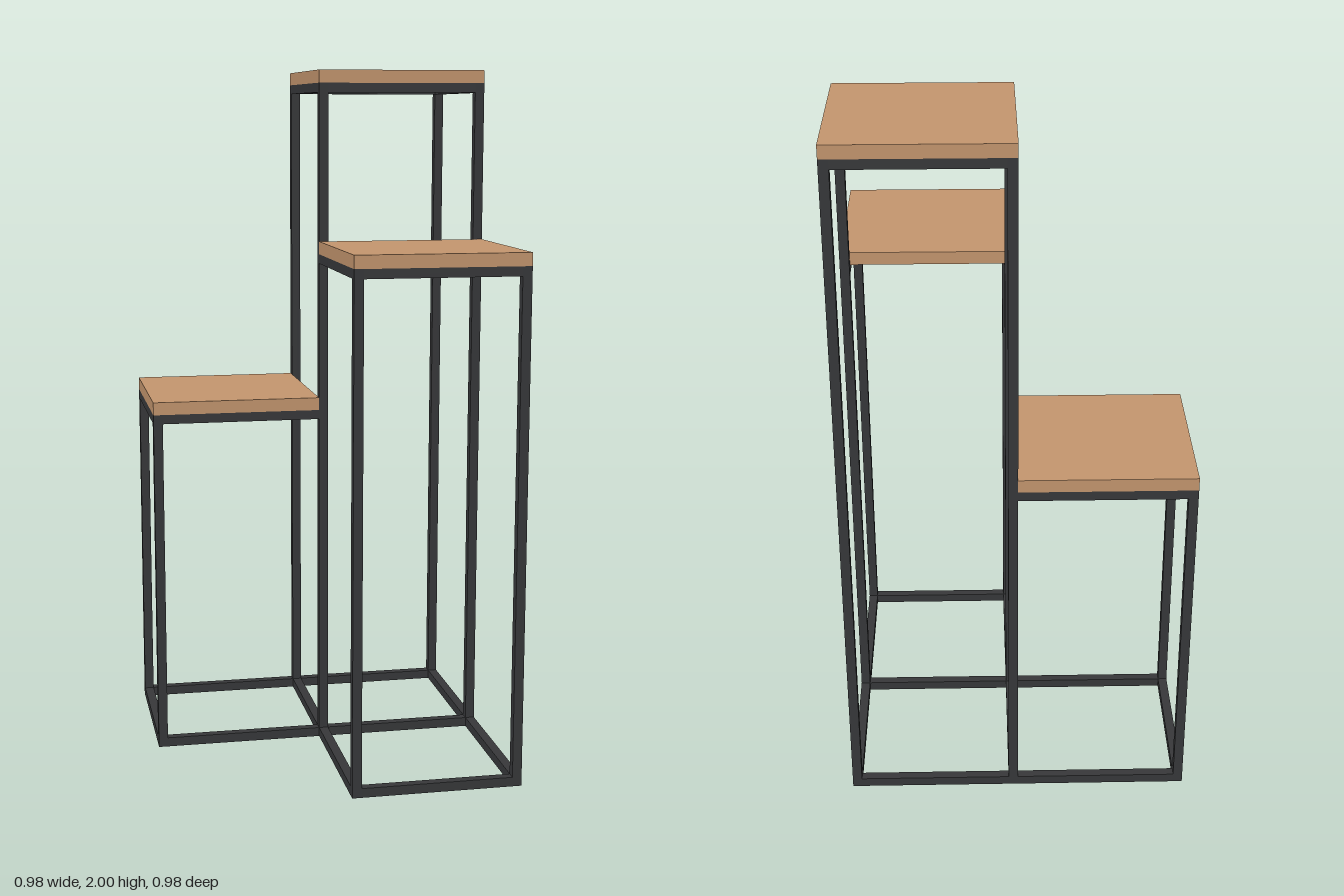
import * as THREE from 'three';

export function createModel() {
  const group = new THREE.Group();
  group.name = 'tieredPlantStand';
  const wood = new THREE.MeshStandardMaterial({ color: 0xc4966e });
  wood.name = 'wood';
  const metal = new THREE.MeshStandardMaterial({ color: 0x37383a });
  metal.name = 'darkMetal';

  const E = 0.49;   // outer extent
  const T = 0.027;  // square tube width
  const P = 0.037;  // shelf thickness

  // Box given by its two opposite corners
  function box(name, material, x0, x1, y0, y1, z0, z1) {
    const mesh = new THREE.Mesh(new THREE.BoxGeometry(x1 - x0, y1 - y0, z1 - z0), material);
    mesh.position.set((x0 + x1) / 2, (y0 + y1) / 2, (z0 + z1) / 2);
    mesh.name = name;
    group.add(mesh);
  }
  const shelf = (name, x0, z0, top) => box(name, wood, x0, x0 + E, top - P, top, z0, z0 + E);
  const leg = (name, x, z, top) => box(name, metal, x, x + T, 0, top - P, z, z + T);
  const railX = (name, x0, x1, y, z) => box(name, metal, x0, x1, y, y + T, z, z + T);
  const railZ = (name, x, y, z0, z1) => box(name, metal, x, x + T, y, y + T, z0, z1);

  const tall = 2, middle = 1.51, low = 1.05;

  // Tall tower: four legs with a full ring of rails at floor and top
  shelf('tallShelf', 0, -E, tall);
  for (const x of [0, E - T]) for (const z of [-E, -T]) leg('tallLeg', x, z, tall);
  for (const y of [0, tall - P - T]) {
    for (const z of [-E, -T]) railX('tallRail', T, E - T, y, z);
    for (const x of [0, E - T]) railZ('tallRail', x, y, -E + T, -T);
  }

  // Middle tower: joins the front legs of the tall tower
  shelf('middleShelf', 0, 0, middle);
  for (const x of [0, E - T]) leg('middleLeg', x, E - T, middle);
  for (const y of [0, middle - P - T]) {
    railX('middleRail', T, E - T, y, E - T);
    for (const x of [0, E - T]) railZ('middleRail', x, y, 0, E - T);
  }

  // Low tower: joins the side legs of the tall tower
  shelf('lowShelf', -E, -E, low);
  for (const z of [-E, -T]) leg('lowLeg', -E, z, low);
  for (const y of [0, low - P - T]) {
    railZ('lowRail', -E, y, -E + T, -T);
    for (const z of [-E, -T]) railX('lowRail', -E + T, 0, y, z);
  }

  return group;
}
